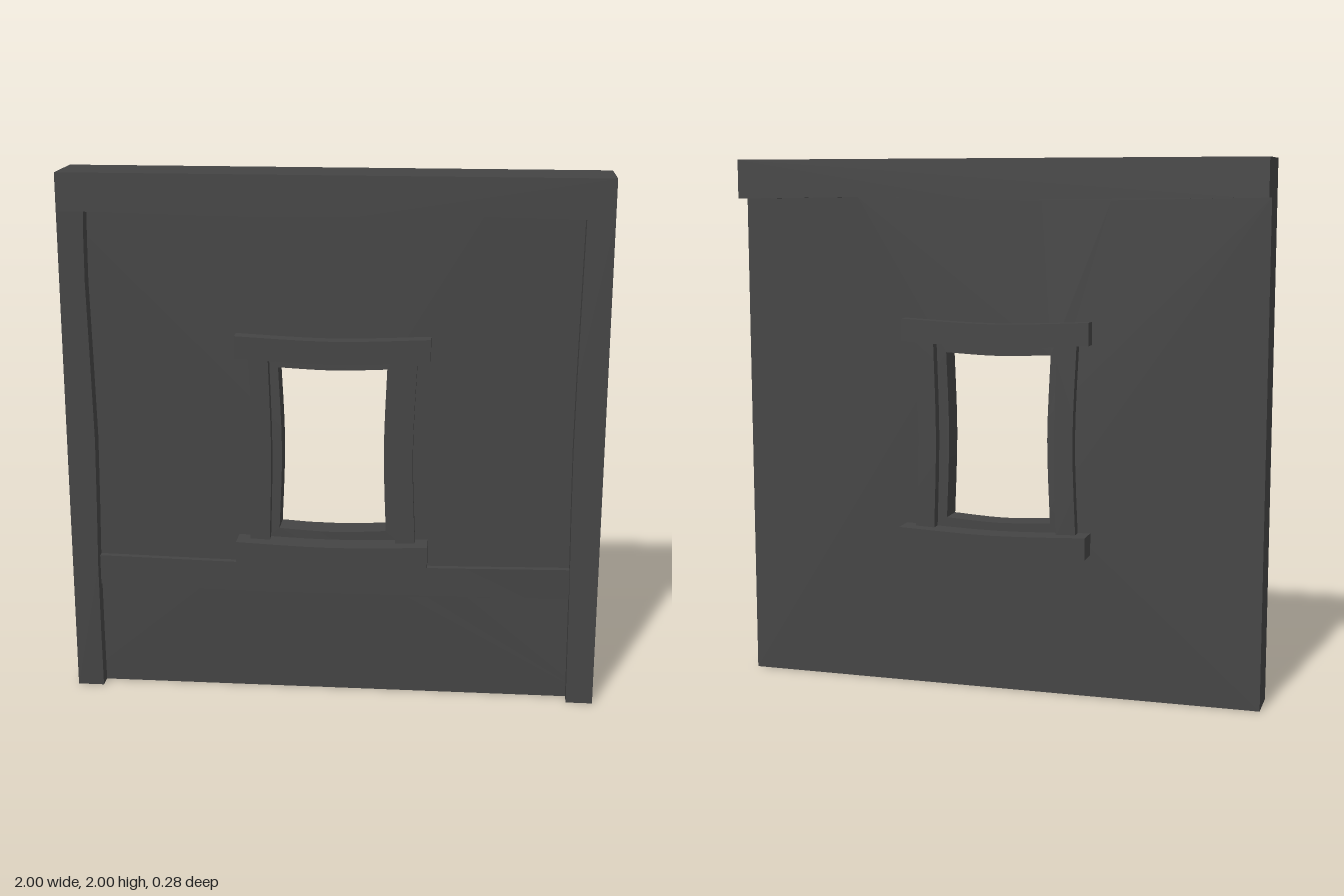
import * as THREE from 'three';

const material = new THREE.MeshStandardMaterial({ color: 0x444444, flatShading: true });

// Softly warped edge sampled through a few [x, y] points
const edge = (...pts) =>
  new THREE.SplineCurve(pts.map(([x, y]) => new THREE.Vector2(x, y))).getPoints(8);

// Closed outline from consecutive edges, extruded from z0 to z1
function slab(name, edges, z0, z1, hole) {
  const shape = new THREE.Shape(edges.flat());
  if (hole) shape.holes.push(new THREE.Path(hole.flat()));
  const geometry = new THREE.ExtrudeGeometry(shape, { depth: z1 - z0, bevelEnabled: false });
  geometry.translate(0, 0, z0);
  const mesh = new THREE.Mesh(geometry, material);
  mesh.name = name;
  return mesh;
}

const corners = (...pts) => pts.map(([x, y]) => new THREE.Vector2(x, y));

// Horizontal board whose long edges sag by the given amount in the middle
const board = (name, halfWidth, y0, y1, sag, z0, z1) =>
  slab(name, [
    edge([-halfWidth, y0], [0, y0 - sag], [halfWidth, y0]),
    edge([halfWidth, y1], [0, y1 - sag], [-halfWidth, y1]),
  ], z0, z1);

export function createModel() {
  const model = new THREE.Group();
  const WALL = 0.05, FRONT = 0.105;

  // Wall with a pinched window opening
  const opening = [
    edge([-0.205, 0.655], [0, 0.645], [0.2, 0.655]),
    edge([0.2, 0.655], [0.19, 0.97], [0.2, 1.285]).slice(1),
    edge([0.2, 1.285], [0, 1.277], [-0.205, 1.285]).slice(1),
    edge([-0.205, 1.285], [-0.193, 0.97], [-0.205, 0.655]).slice(1, -1),
  ];
  const beamEdge = () => edge([-0.9, 1.86], [-0.25, 1.848], [0.4, 1.861], [0.9, 1.855]);
  const wallTop = [...corners([-1, 1.86]), ...beamEdge(), ...corners([1, 1.855])];
  model.add(slab('wall', [corners([1, 0], [-1, 0]), wallTop], -WALL, WALL, opening));

  // Top beam, overhanging at the back
  model.add(slab('topBeam', [wallTop, corners([1, 2], [-1, 2])], -0.13, FRONT));

  // Corner posts on the front
  model.add(slab('rightPost', [
    corners([-1, 0]),
    edge([-0.9, 0], [-0.902, 0.5], [-0.893, 1], [-0.905, 1.6], [-0.9, 1.86]),
    corners([-1, 1.86]),
  ], WALL, FRONT));
  model.add(slab('leftPost', [
    corners([1, 0]),
    edge([0.9, 0], [0.895, 0.5], [0.888, 1], [0.894, 1.5], [0.9, 1.855]),
    corners([1, 1.855]),
  ], WALL, FRONT));

  // Low rail across the front
  model.add(board('rail', 0.9, 0.413, 0.53, 0.013, WALL, 0.075));

  // Window trim on both faces of the wall
  for (const side of [1, -1]) {
    const trim = new THREE.Group();
    trim.name = side > 0 ? 'frontWindowTrim' : 'backWindowTrim';
    const span = (depth) => (side > 0 ? [WALL, depth] : [-depth, -WALL]);
    trim.add(board('lintel', 0.36, 1.327, 1.412, 0.014, ...span(0.105)));
    trim.add(board('sill', 0.36, 0.543, 0.626, 0.012, ...span(0.142)));
    for (const s of [1, -1]) {
      trim.add(slab(s > 0 ? 'leftJamb' : 'rightJamb', [
        edge([s * 0.238, 0.615], [s * 0.229, 0.97], [s * 0.238, 1.325]),
        edge([s * 0.312, 1.325], [s * 0.299, 0.97], [s * 0.312, 0.615]),
      ], ...span(0.09)));
    }
    model.add(trim);
  }
  return model;
}
